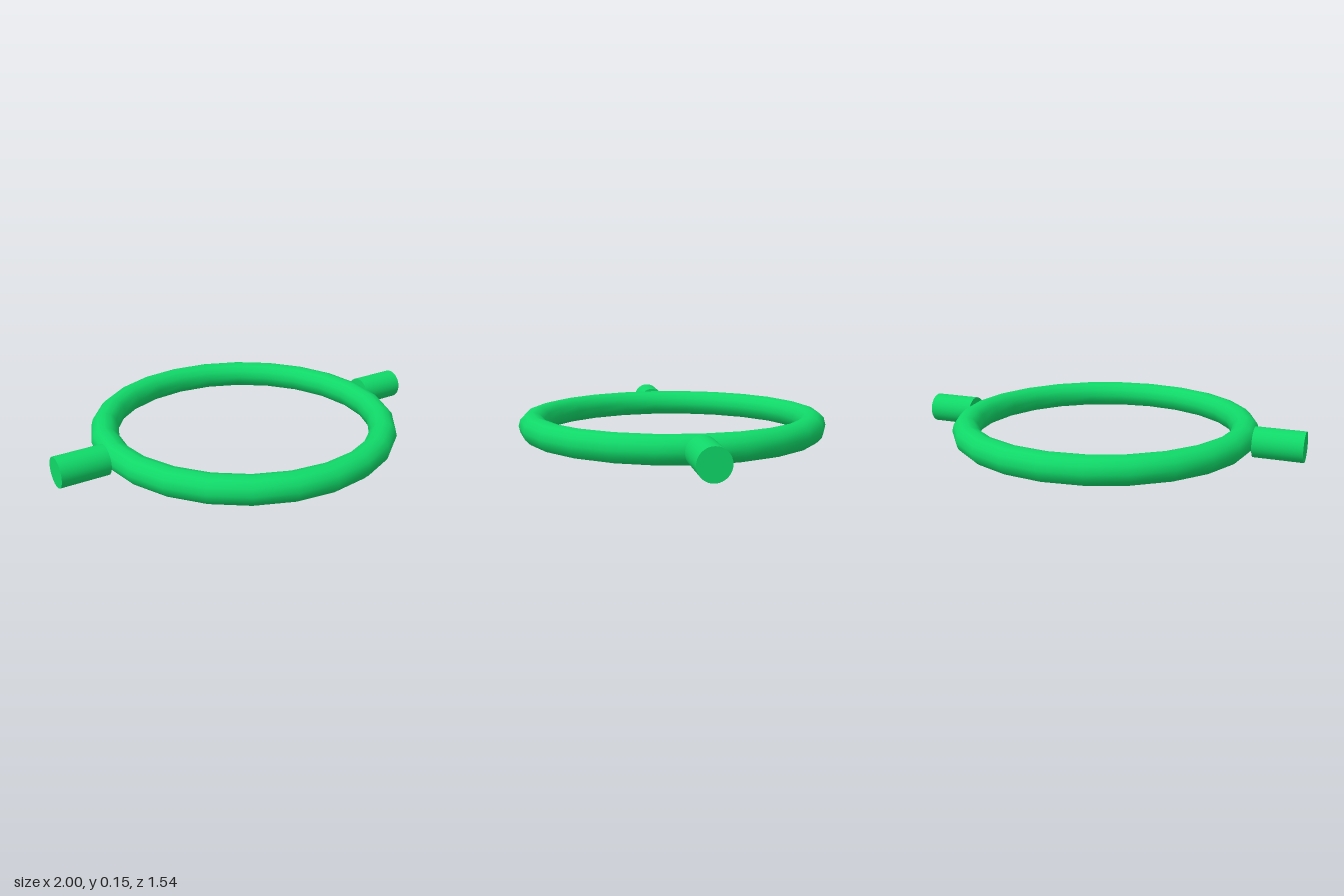
import * as THREE from 'three';

export function createModel() {
  const group = new THREE.Group();
  const material = new THREE.MeshStandardMaterial({ color: 0x10d868 });
  const midHeight = 0.075;

  // Horizontal ring with 24 straight segments
  const ringGeometry = new THREE.TorusGeometry(0.702, 0.068, 12, 24);
  ringGeometry.rotateX(Math.PI / 2);
  const ring = new THREE.Mesh(ringGeometry, material);
  ring.name = 'ring';
  ring.position.y = midHeight;
  group.add(ring);

  // Round pegs on both sides, butting against the ring
  const inner = 0.762, outer = 1;
  const pegGeometry = new THREE.CylinderGeometry(0.074, 0.074, outer - inner, 32);
  pegGeometry.rotateZ(Math.PI / 2);
  for (const [name, side] of [['leftPeg', 1], ['rightPeg', -1]]) {
    const peg = new THREE.Mesh(pegGeometry, material);
    peg.name = name;
    peg.position.set(side * (inner + outer) / 2, midHeight, 0);
    group.add(peg);
  }

  return group;
}
